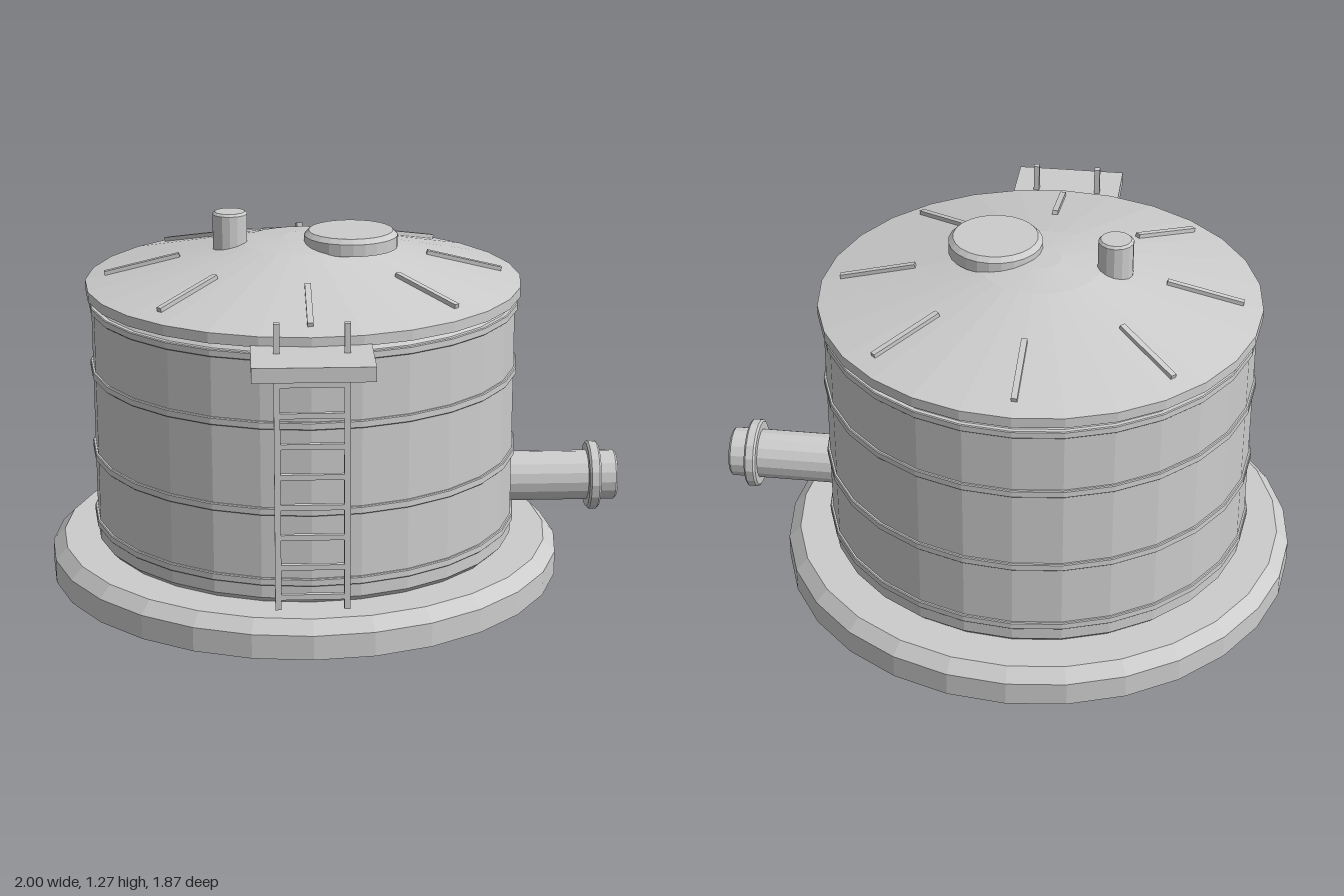
import * as THREE from 'three';

const CX = -0.107, CZ = -0.043; // tank axis

export function createModel() {
  const model = new THREE.Group();
  model.name = 'storageTank';
  const grey = new THREE.MeshStandardMaterial({ color: 0xcccccc, flatShading: true });
  grey.name = 'light grey metal';

  function add(name, geometry, x, y, z, parent = model) {
    const mesh = new THREE.Mesh(geometry, grey);
    mesh.name = name;
    mesh.position.set(x, y, z);
    parent.add(mesh);
    return mesh;
  }
  const lathe = (profile, sides) =>
    new THREE.LatheGeometry(profile.map(([r, y]) => new THREE.Vector2(r, y)), sides);
  // Closed disc or cylinder with bevelled top, and optionally bottom
  const drum = (r, y0, y1, bevel, sides, bevelBottom = 0) => lathe([
    [0, y0], [r - bevelBottom, y0], [r, y0 + bevelBottom],
    [r, y1 - bevel], [r - bevel, y1], [0, y1],
  ], sides);

  // Foundation, shell and roof
  add('foundation', drum(0.893, 0, 0.125, 0.042, 28), CX, 0, CZ);
  add('shell', drum(0.732, 0.12, 0.995, 0.025, 28, 0.025), CX, 0, CZ);
  add('roof', lathe([
    [0, 1.0], [0.75, 1.0], [0.75, 1.035], [0.21, 1.165], [0.07, 1.18], [0, 1.18],
  ], 28), CX, 0, CZ);

  // Stiffening bands around the shell
  for (const y of [0.203, 0.446, 0.738, 0.965]) {
    add('band', drum(0.741, y - 0.013, y + 0.013, 0.003, 28, 0.003), CX, 0, CZ);
  }

  // Radial ribs following the roof slope
  const slope = Math.atan2(0.13, 0.54);
  for (let i = 0; i < 8; i++) {
    const spoke = new THREE.Group();
    spoke.name = 'roofRib';
    spoke.position.set(CX, 0, CZ);
    spoke.rotation.y = i * Math.PI / 4;
    model.add(spoke);
    const rib = add('rib', new THREE.BoxGeometry(0.02, 0.024, 0.265), 0, 1.084, 0.553, spoke);
    rib.rotation.x = slope;
  }

  // Roof hatch and vent
  add('hatch', drum(0.16, 1.16, 1.217, 0.016, 24), 0.053, 0, 0.02);
  add('vent', drum(0.06, 1.1, 1.27, 0.008, 14), -0.358, 0, CZ);

  // Outlet pipe with flange, pointing to +x
  const outlet = new THREE.Group();
  outlet.name = 'outlet';
  outlet.position.set(0, 0.297, CZ);
  outlet.rotation.z = -Math.PI / 2;
  model.add(outlet);
  add('pipe', drum(0.088, 0.5, 1.0, 0.008, 16), 0, 0, 0, outlet);
  add('flange', drum(0.122, 0.895, 0.936, 0.007, 16, 0.007), 0, 0, 0, outlet);

  // Ladder and platform at the front
  const ladderZ = 0.767;
  for (const side of [-1, 1]) {
    add('ladderRail', new THREE.BoxGeometry(0.02, 0.955, 0.022), CX + side * 0.111, 0.6225, ladderZ);
  }
  for (let i = 0; i < 8; i++) {
    add('rung', new THREE.BoxGeometry(0.21, 0.018, 0.016), CX, 0.187 + i * 0.102, ladderZ);
  }
  add('platform', new THREE.BoxGeometry(0.384, 0.048, 0.252), CX, 0.981, 0.805);

  return model;
}
